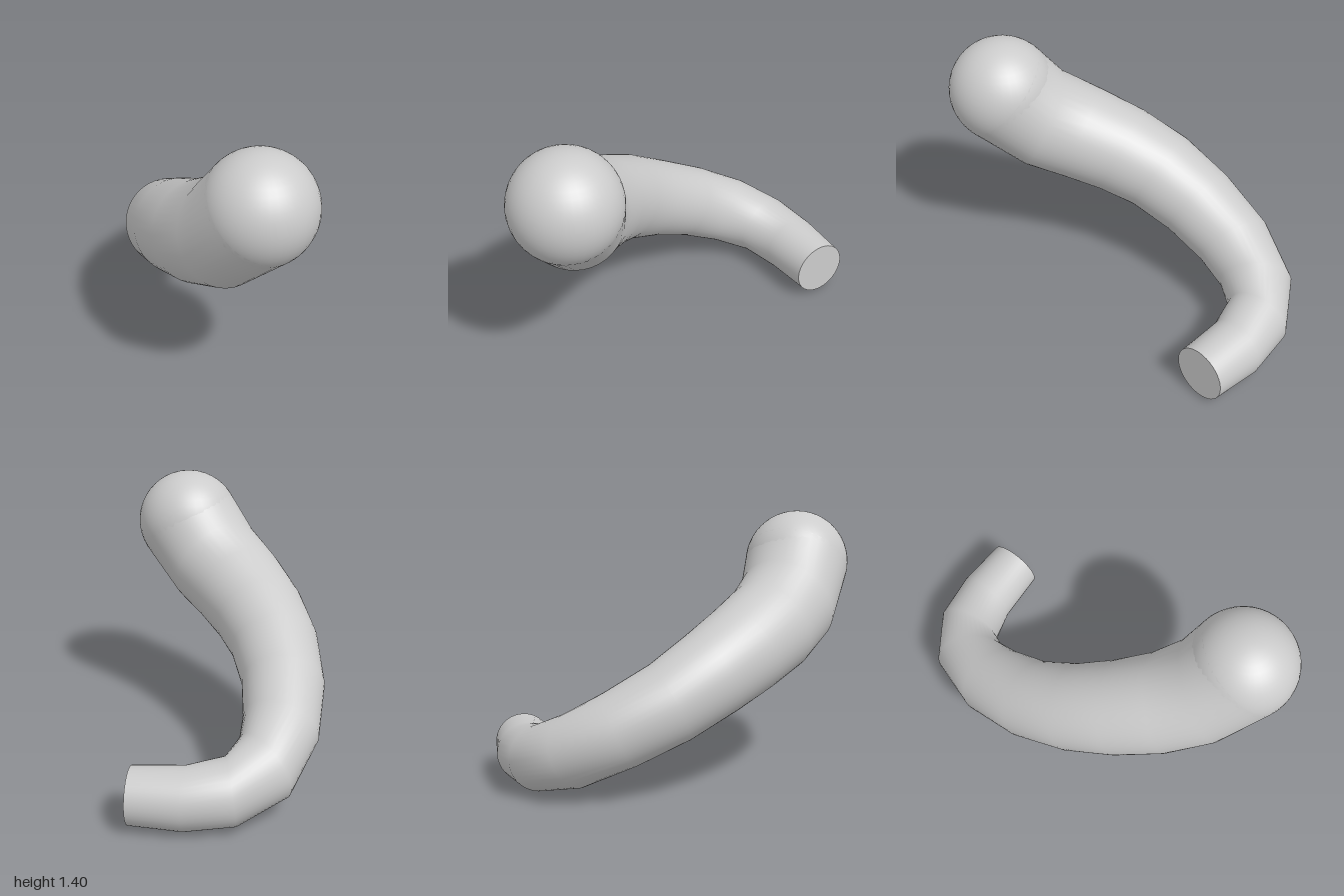
import * as THREE from 'three';

// Cross-sections of the limb: centre x, y, z and radius
const RINGS = [
  [0.33, 0.165, -0.84, 0.148],
  [0.06, 0.167, -0.84, 0.162],
  [-0.16, 0.195, -0.79, 0.174],
  [-0.31, 0.265, -0.64, 0.192],
  [-0.367, 0.375, -0.415, 0.203],
  [-0.355, 0.5, -0.155, 0.218],
  [-0.285, 0.627, 0.08, 0.235],
  [-0.18, 0.725, 0.275, 0.25],
  [-0.045, 0.815, 0.457, 0.264],
  [0.105, 0.915, 0.6, 0.276],
  [0.28, 1.122, 0.713, 0.286],
];
const SIDES = 40;

// Tapered tube swept through the rings, each facing along the segment before it
function sweep(rings) {
  const centres = rings.map(([x, y, z]) => new THREE.Vector3(x, y, z));
  const up = new THREE.Vector3(0, 1, 0);
  const positions = [], index = [];
  rings.forEach((ring, i) => {
    const t = i === 0
      ? new THREE.Vector3(-1, 0, 0)
      : centres[i].clone().sub(centres[i - 1]).normalize();
    const side = up.clone().cross(t).normalize();
    const normal = t.clone().cross(side);
    for (let j = 0; j < SIDES; j++) {
      const angle = (j / SIDES) * Math.PI * 2;
      const p = centres[i].clone()
        .addScaledVector(side, Math.cos(angle) * ring[3])
        .addScaledVector(normal, Math.sin(angle) * ring[3]);
      positions.push(p.x, p.y, p.z);
      if (i < rings.length - 1) {
        const a = i * SIDES + j, b = i * SIDES + (j + 1) % SIDES;
        index.push(a, b, a + SIDES, b, b + SIDES, a + SIDES);
      }
    }
  });
  const geometry = new THREE.BufferGeometry();
  geometry.setAttribute('position', new THREE.Float32BufferAttribute(positions, 3));
  geometry.setIndex(index);
  geometry.computeVertexNormals();
  return geometry;
}

export function createModel() {
  const group = new THREE.Group();
  group.name = 'curvedLimb';
  const material = new THREE.MeshStandardMaterial({ color: 0xcccccc });
  const add = (name, geometry, x = 0, y = 0, z = 0) => {
    const mesh = new THREE.Mesh(geometry, material);
    mesh.name = name;
    mesh.position.set(x, y, z);
    group.add(mesh);
  };

  // Curved body
  add('curvedBody', sweep(RINGS));

  // Flat end
  const [x, y, z, r] = RINGS[0];
  add('flatEnd', new THREE.CircleGeometry(r, SIDES).rotateY(Math.PI / 2), x, y, z);

  // Rounded tip
  const [tx, ty, tz, tr] = RINGS[RINGS.length - 1];
  add('roundedTip', new THREE.SphereGeometry(tr, SIDES, 24), tx, ty, tz);

  return group;
}
